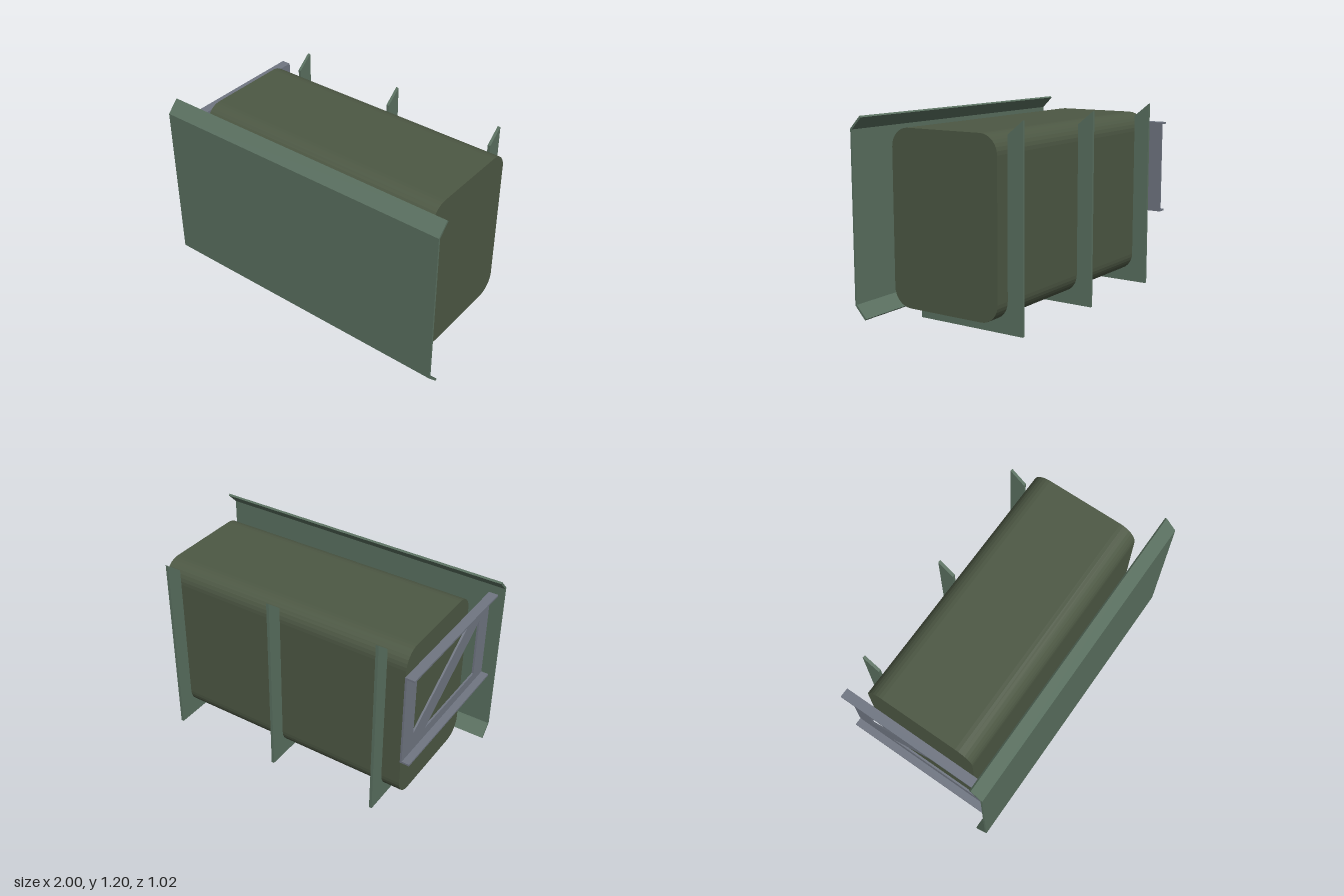
import * as THREE from 'three';

const paint = (color) => new THREE.MeshStandardMaterial({ color, flatShading: true });

// Builds a shape from [z, y] points
const outline = (points) => new THREE.Shape(points.map(([z, y]) => new THREE.Vector2(z, y)));

// Extrudes a (z, y) shape along x, from x0 to x1
function extrudeX(name, shape, x0, x1, material) {
  const geometry = new THREE.ExtrudeGeometry(shape, { depth: x1 - x0, bevelEnabled: false, curveSegments: 4 });
  geometry.rotateY(-Math.PI / 2);
  geometry.translate(x1, 0, 0);
  const mesh = new THREE.Mesh(geometry, material);
  mesh.name = name;
  return mesh;
}

export function createModel() {
  const model = new THREE.Group();
  model.name = 'shieldedTank';
  const olive = paint(0x4d5844);
  const green = paint(0x5a7060);
  const steel = paint(0x707682);

  // Tank: long box with rounded long edges
  const back = -0.405, front = 0.335, low = 0.075, high = 1.132, r = 0.115;
  const tank = new THREE.Shape();
  tank.moveTo(back + r, low);
  tank.absarc(front - r, low + r, r, -Math.PI / 2, 0);
  tank.absarc(front - r, high - r, r, 0, Math.PI / 2);
  tank.absarc(back + r, high - r, r, Math.PI / 2, Math.PI);
  tank.absarc(back + r, low + r, r, Math.PI, Math.PI * 1.5);
  model.add(extrudeX('tank', tank, -0.85, 0.845, olive));

  // Front shield: sheet with top and bottom lips folded back
  const shield = outline([
    [0.438, 0.003], [0.512, 0.083], [0.512, 1.124], [0.438, 1.2],
    [0.428, 1.191], [0.5, 1.119], [0.5, 0.088], [0.428, 0.012],
  ]);
  model.add(extrudeX('frontShield', shield, -1, 1, green));

  // L-shaped ribs that cradle the tank from below and behind
  const rib = outline([[back, 1.12], [-0.506, 1.202], [-0.506, 0], [0.215, 0], [0.215, low]]);
  rib.lineTo(back + r, low);
  rib.absarc(back + r, low + r, r, Math.PI * 1.5, Math.PI, true);
  for (const x of [-0.72, 0, 0.74]) {
    model.add(extrudeX('cradleRib', rib, x - 0.009, x + 0.009, green));
  }

  // Side frame: web with two triangular openings, leaving a diagonal brace
  const frame = new THREE.Group();
  frame.name = 'sideFrame';
  const web = outline([[-0.51, 0.46], [0.5, 0.46], [0.5, 1.065], [-0.51, 1.065]]);
  web.holes.push(
    outline([[0.375, 0.535], [0.375, 0.93], [-0.245, 0.535]]),
    outline([[-0.39, 0.99], [-0.39, 0.595], [0.24, 0.99]]),
  );
  frame.add(extrudeX('frameWeb', web, -0.912, -0.9, steel));

  // Flanges along the web's top and bottom, turned outwards
  for (const y of [0.466, 1.059]) {
    const flange = new THREE.Mesh(new THREE.BoxGeometry(0.06, 0.012, 1.01), steel);
    flange.name = 'frameFlange';
    flange.position.set(-0.93, y, -0.005);
    frame.add(flange);
  }
  model.add(frame);

  return model;
}
